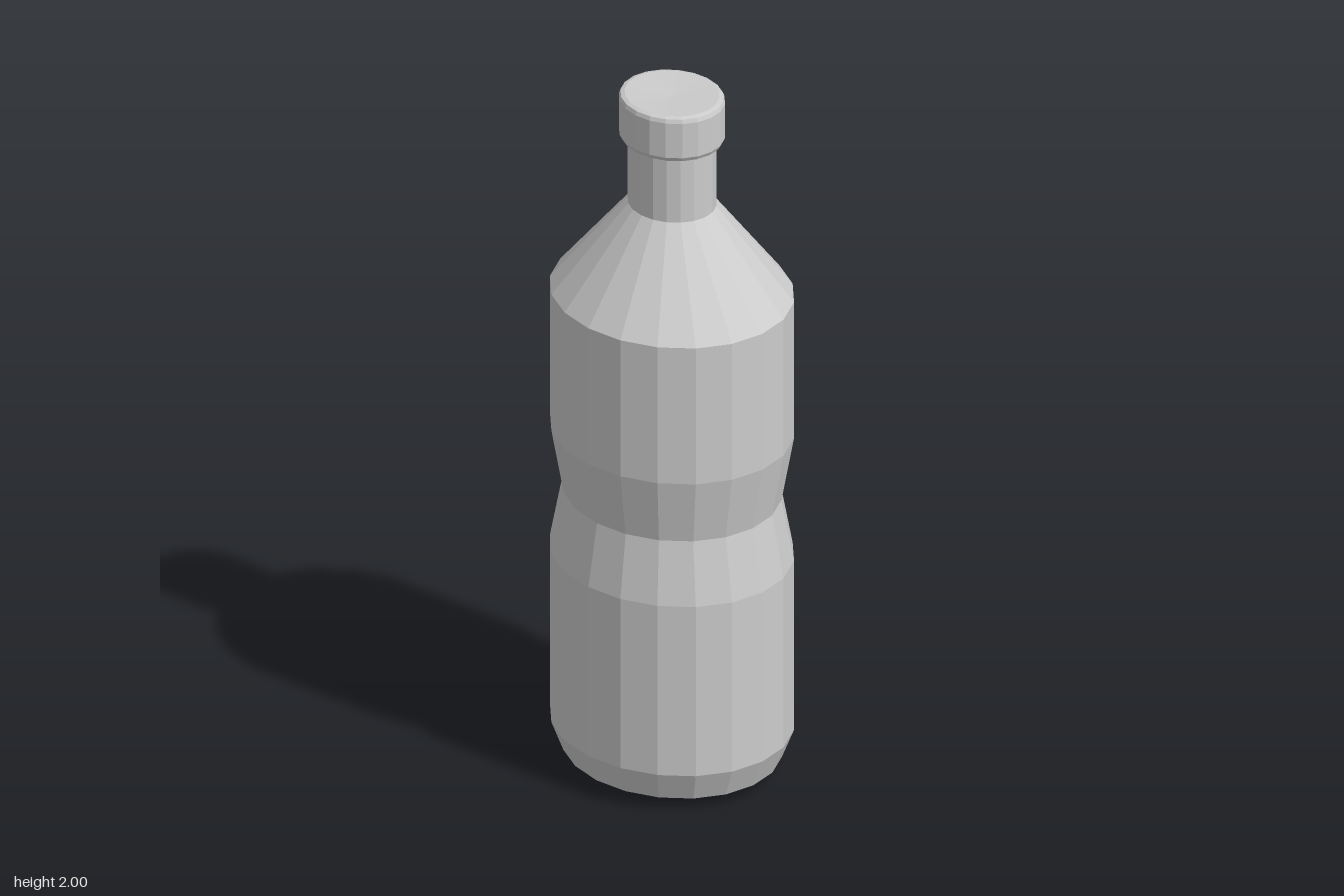
import * as THREE from 'three';

const SIDES = 20;
const DEPTH = 1.14; // the oval section is deeper than it is wide

export function createModel() {
  const group = new THREE.Group();
  group.name = 'bottle';
  const material = new THREE.MeshStandardMaterial({ color: 0xcccccc, flatShading: true });

  // Turns a [radius, height] profile into a faceted oval part
  function addTurned(name, profile) {
    const points = profile.map(([r, y]) => new THREE.Vector2(r, y));
    const geometry = new THREE.LatheGeometry(points, SIDES);
    geometry.scale(1, 1, DEPTH);
    const mesh = new THREE.Mesh(geometry, material);
    mesh.name = name;
    group.add(mesh);
  }

  // Body: chamfered base, pinched waist and sloping shoulder
  addTurned('body', [
    [0, 0], [0.215, 0], [0.29, 0.035], [0.322, 0.12],
    [0.322, 0.63], [0.289, 0.81], [0.322, 1.0],
    [0.322, 1.41], [0.117, 1.675],
  ]);

  // Neck: straight tube running up into the cap
  addTurned('neck', [[0.117, 1.675], [0.117, 1.875]]);

  // Cap: small bevels and a barely dished top
  addTurned('cap', [
    [0.115, 1.87], [0.134, 1.87], [0.14, 1.882], [0.14, 1.985],
    [0.136, 1.996], [0.125, 2.0], [0, 1.993],
  ]);

  return group;
}
